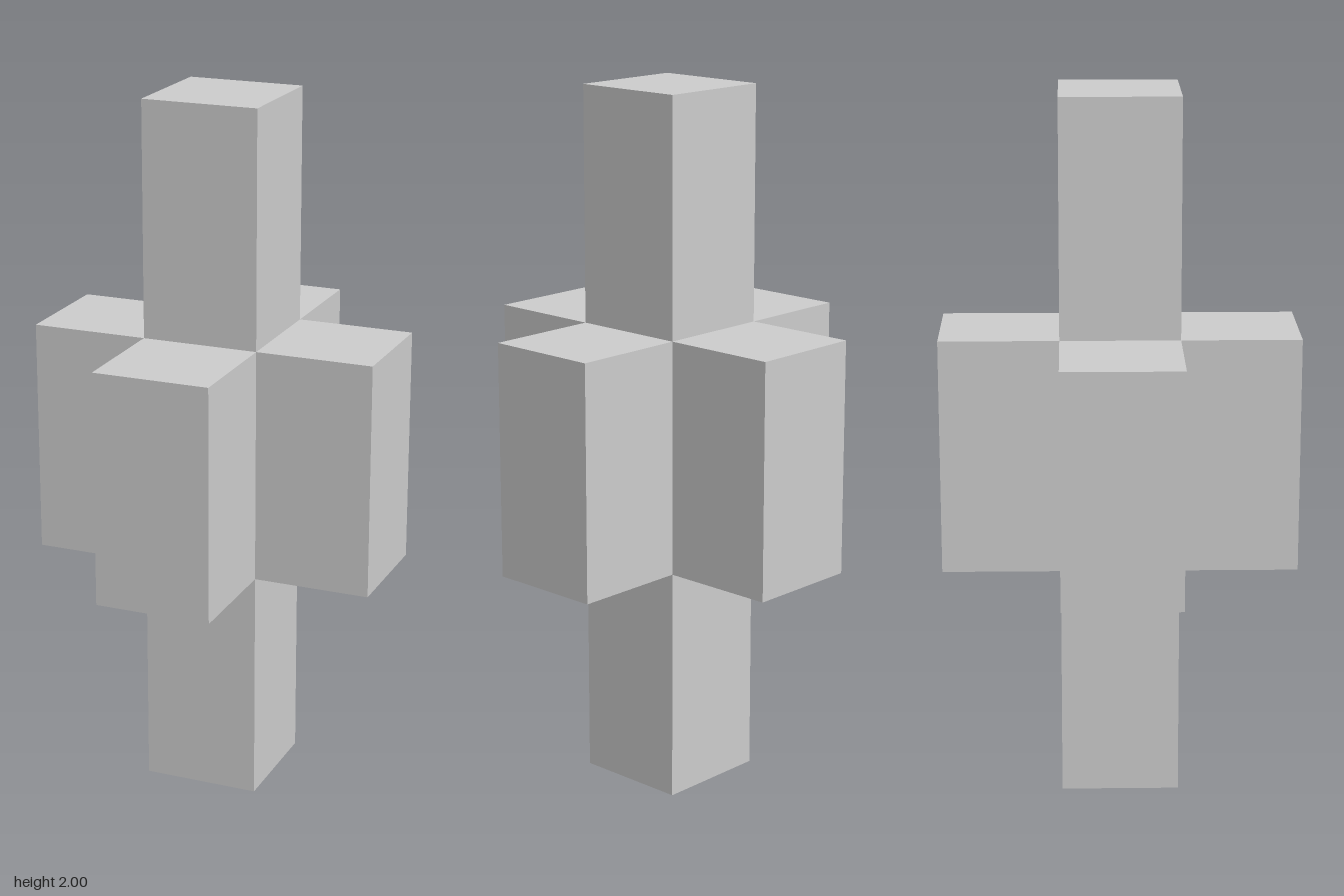
import * as THREE from 'three';

const UNIT = 1 / 3; // width of the column and of each arm
const HEIGHT = 2;

export function createModel() {
  const model = new THREE.Group();
  model.name = 'crossBlock';
  const material = new THREE.MeshStandardMaterial({ color: 0xcccccc, flatShading: true });

  const addBlock = (name, height, x, z) => {
    const mesh = new THREE.Mesh(new THREE.BoxGeometry(UNIT, height, UNIT), material);
    mesh.name = name;
    mesh.position.set(x, HEIGHT / 2, z);
    model.add(mesh);
  };

  // Full-height square column
  addBlock('column', HEIGHT, 0, 0);

  // Four arms around the middle third, one against each side of the column
  const arms = { leftArm: [1, 0], rightArm: [-1, 0], frontArm: [0, 1], backArm: [0, -1] };
  for (const [name, [x, z]] of Object.entries(arms)) {
    addBlock(name, HEIGHT / 3, x * UNIT, z * UNIT);
  }

  return model;
}
